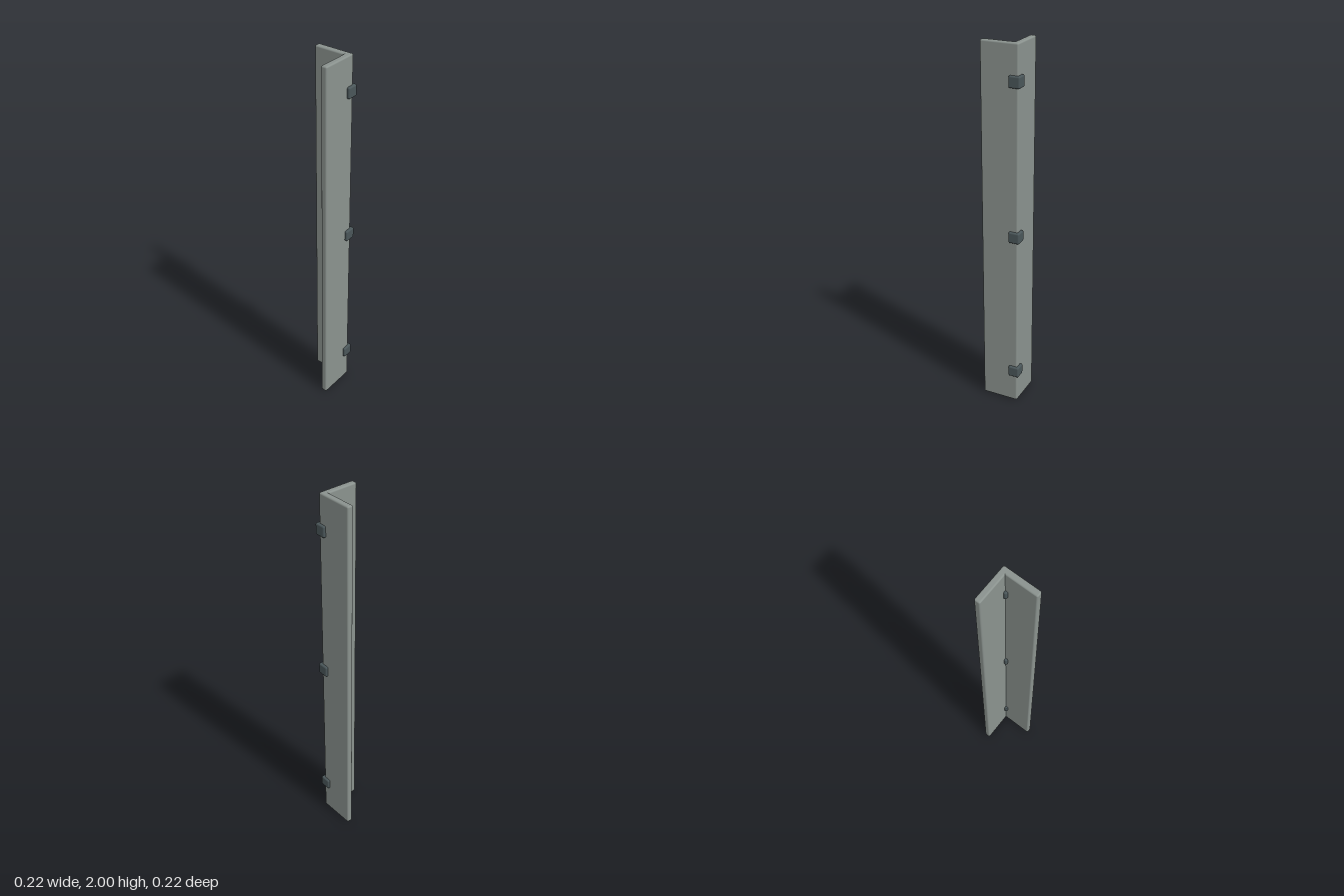
import * as THREE from 'three';
import { RoundedBoxGeometry } from 'three/addons/geometries/RoundedBoxGeometry.js';

export function createModel() {
  const group = new THREE.Group();
  const panelMaterial = new THREE.MeshStandardMaterial({ color: 0x8a928e });
  const clampMaterial = new THREE.MeshStandardMaterial({ color: 0x4a5659 });

  // Rounded block given by its lower and upper corners
  function block(name, min, max, radius, material) {
    const size = max.map((v, i) => v - min[i]);
    const mesh = new THREE.Mesh(new RoundedBoxGeometry(...size, 3, radius), material);
    mesh.position.set(...max.map((v, i) => (v + min[i]) / 2));
    mesh.name = name;
    group.add(mesh);
  }

  // Two upright plates meeting at the back left corner
  block('backPlate', [-0.11, 0, -0.096], [0.094, 2, -0.063], 0.008, panelMaterial);
  block('sidePlate', [0.061, 0, -0.096], [0.094, 2, 0.108], 0.008, panelMaterial);

  // Clamps wrapping the corner at three heights
  for (const y of [0.19, 1.003, 1.816]) {
    block('cornerClamp', [0.047, y - 0.03, -0.11], [0.108, y + 0.03, -0.049], 0.008, clampMaterial);
  }
  return group;
}
